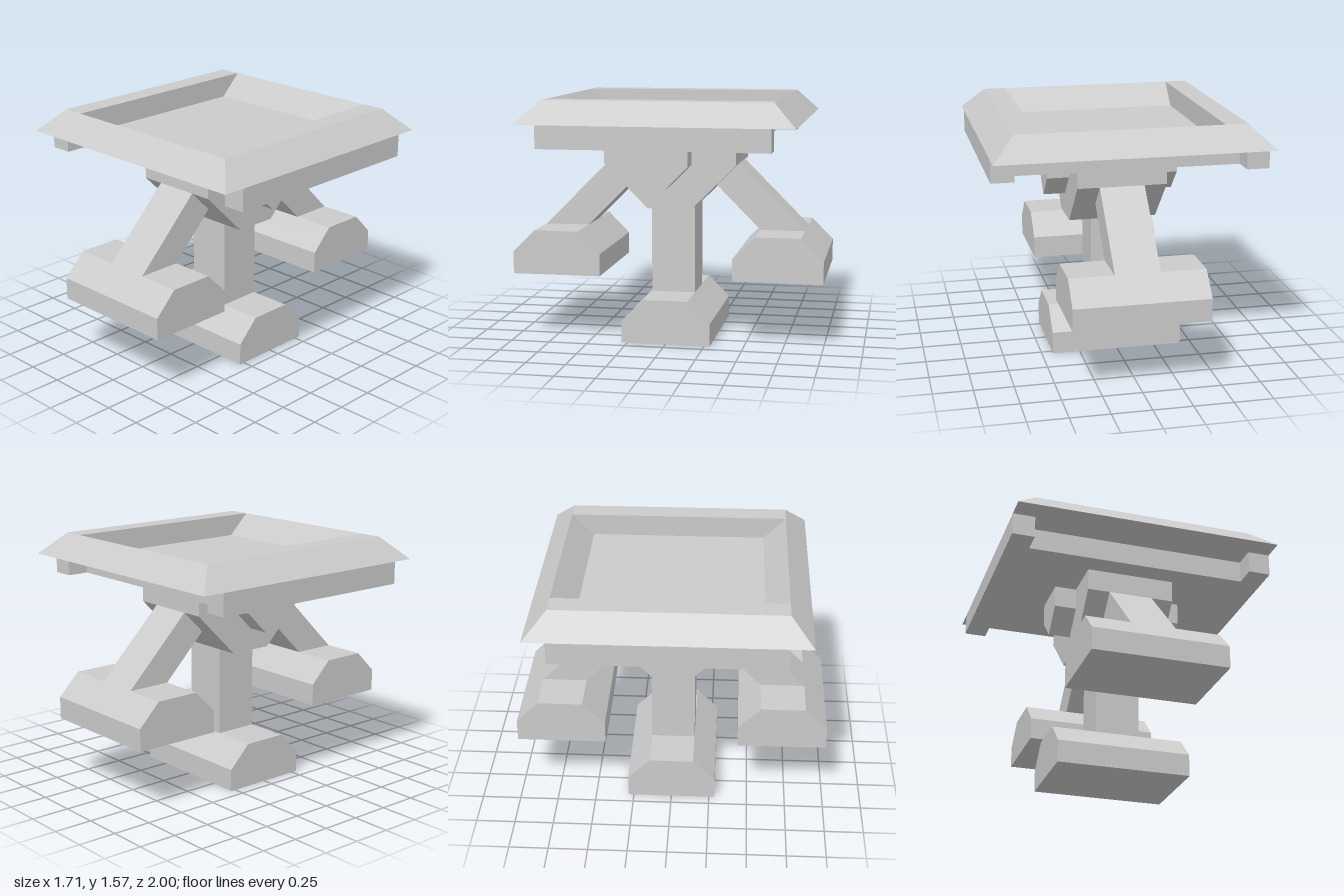
import * as THREE from 'three';

const U = 1 / 7; // design grid: the stand is 14 units deep and 11 high
const material = new THREE.MeshStandardMaterial({ color: 0xcccccc, flatShading: true });

function part(name, geometry) {
  const mesh = new THREE.Mesh(geometry, material);
  mesh.name = name;
  return mesh;
}

// Extrudes a (z, y) side profile along x, centred on x = cx
function slab(name, profile, width, cx = 0) {
  const shape = new THREE.Shape(profile.map(([z, y]) => new THREE.Vector2(z, y)));
  const geometry = new THREE.ExtrudeGeometry(shape, { depth: width, bevelEnabled: false });
  geometry.translate(0, 0, -width / 2).rotateY(-Math.PI / 2).translate(cx, 0, 0);
  return part(name, geometry);
}

function box(name, w, h, d, x, y, z) {
  return part(name, new THREE.BoxGeometry(w, h, d).translate(x, y, z));
}

// Skins a series of rectangles given as [halfX, y, halfZ], skipping zero-width strips
function loft(name, rings) {
  const corners = ([x, y, z]) =>
    [[x, y, z], [x, y, -z], [-x, y, -z], [-x, y, z]].map((p) => new THREE.Vector3(...p));
  const points = [];
  for (let i = 0; i < rings.length - 1; i++) {
    const a = corners(rings[i]);
    const b = corners(rings[i + 1]);
    for (let k = 0; k < 4; k++) {
      const n = (k + 1) % 4;
      for (const t of [[a[k], a[n], b[n]], [a[k], b[n], b[k]]]) {
        if (new THREE.Triangle(...t).getArea() > 0) points.push(...t);
      }
    }
  }
  const geometry = new THREE.BufferGeometry().setFromPoints(points);
  geometry.computeVertexNormals();
  return part(name, geometry);
}

// Foot profile: vertical sides with chamfered top edges
const footProfile = (z, y) => [
  [z - 2, y], [z + 2, y], [z + 2, y + 1], [z + 1, y + 2], [z - 1, y + 2], [z - 2, y + 1],
];

export function createModel() {
  const model = new THREE.Group();
  model.name = 'trayStand';

  // Tray: underside of the overhang, outer bevel, rim, inner walls and sunken floor
  model.add(loft('tray', [
    [5, 10, 4], [6, 10, 6], [5, 11, 5], [4, 11, 5], [4, 10, 4], [0, 10, 0],
  ]));

  // Plate and side rails under the tray
  model.add(box('underPlate', 10, 1, 8, 0, 9.5, 0));
  for (const s of [-1, 1]) model.add(box('sideRail', 1, 1, 10, s * 5.5, 9.5, 0));

  // Hub set into the plate and tapering to the post, with a small wedge on each side
  model.add(slab('hub', [[-3, 9.5], [-3, 8], [-1, 6], [1, 6], [3, 8], [3, 9.5]], 4));
  for (const s of [-1, 1]) {
    model.add(slab('hubWedge', [[-1, 9.5], [-1, 8], [0, 7], [1, 8], [1, 9.5]], 1.5, s * 2.25));
  }

  // Central post, sunk into hub and foot
  model.add(box('centerPost', 2, 5, 2, 0, 4, 0));
  model.add(slab('centerFoot', footProfile(0, 0), 6));

  // Slanted legs, sunk into the hub, and raised feet at front and back
  for (const s of [1, -1]) {
    const leg = [[2.5, 8.5], [1.5, 7.5], [4, 5], [6, 5]].map(([z, y]) => [s * z, y]);
    const side = s > 0 ? 'front' : 'back';
    model.add(slab(side + 'Leg', leg, 2));
    model.add(slab(side + 'Foot', footProfile(s * 5, 3), 6));
  }

  model.scale.setScalar(U);
  return model;
}
